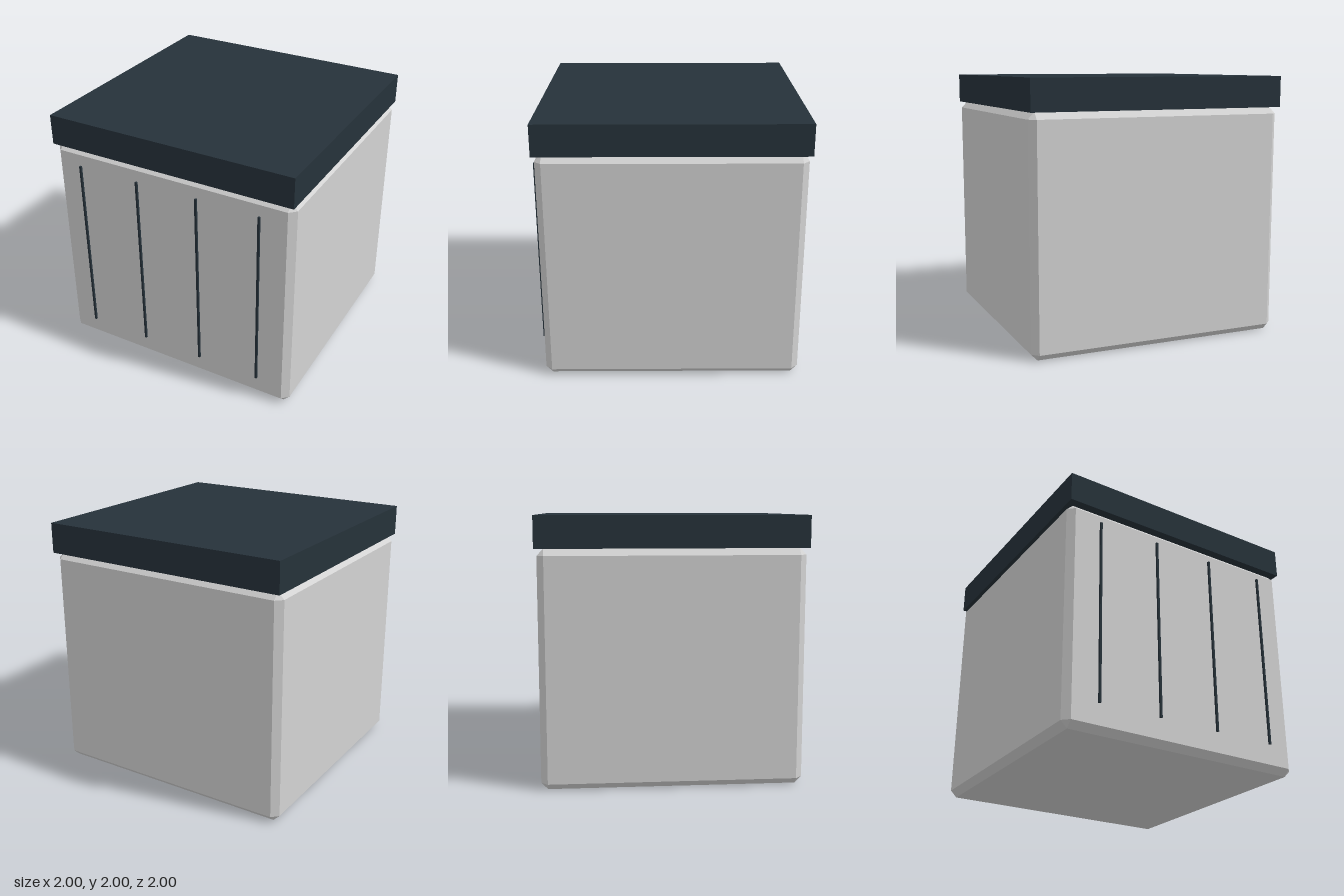
import * as THREE from 'three';
import { ConvexGeometry } from 'three/addons/geometries/ConvexGeometry.js';

// Box with flat chamfers on every edge and corner
function chamferedBox(w, h, d, c) {
  const points = [];
  for (const x of [-1, 1]) for (const y of [-1, 1]) for (const z of [-1, 1]) {
    const p = [x * w / 2, y * h / 2, z * d / 2];
    const inner = [x * (w / 2 - c), y * (h / 2 - c), z * (d / 2 - c)];
    for (let axis = 0; axis < 3; axis++) {
      points.push(new THREE.Vector3(...inner.map((v, i) => (i === axis ? p[i] : v))));
    }
  }
  return new ConvexGeometry(points);
}

export function createModel() {
  const group = new THREE.Group();
  const grey = new THREE.MeshStandardMaterial({ color: 0xd3d3d3 });
  grey.name = 'light grey';
  const slate = new THREE.MeshStandardMaterial({ color: 0x26323a });
  slate.name = 'dark slate';

  const add = (name, geometry, material, x, y, z) => {
    const mesh = new THREE.Mesh(geometry, material);
    mesh.name = name;
    mesh.position.set(x, y, z);
    group.add(mesh);
  };

  // Cabinet body, set back slightly under the top slab
  add('body', chamferedBox(2, 1.765, 1.942, 0.05), grey, 0, 0.8825, -0.01);

  // Top slab
  add('topSlab', new THREE.BoxGeometry(2, 0.235, 1.98), slate, 0, 1.8825, -0.01);

  // Thin vertical strips standing just off the front
  for (const x of [-0.75, -0.25, 0.25, 0.75]) {
    add('frontStrip', new THREE.BoxGeometry(0.016, 1.44, 0.016), slate, x, 0.92, 0.992);
  }
  return group;
}
